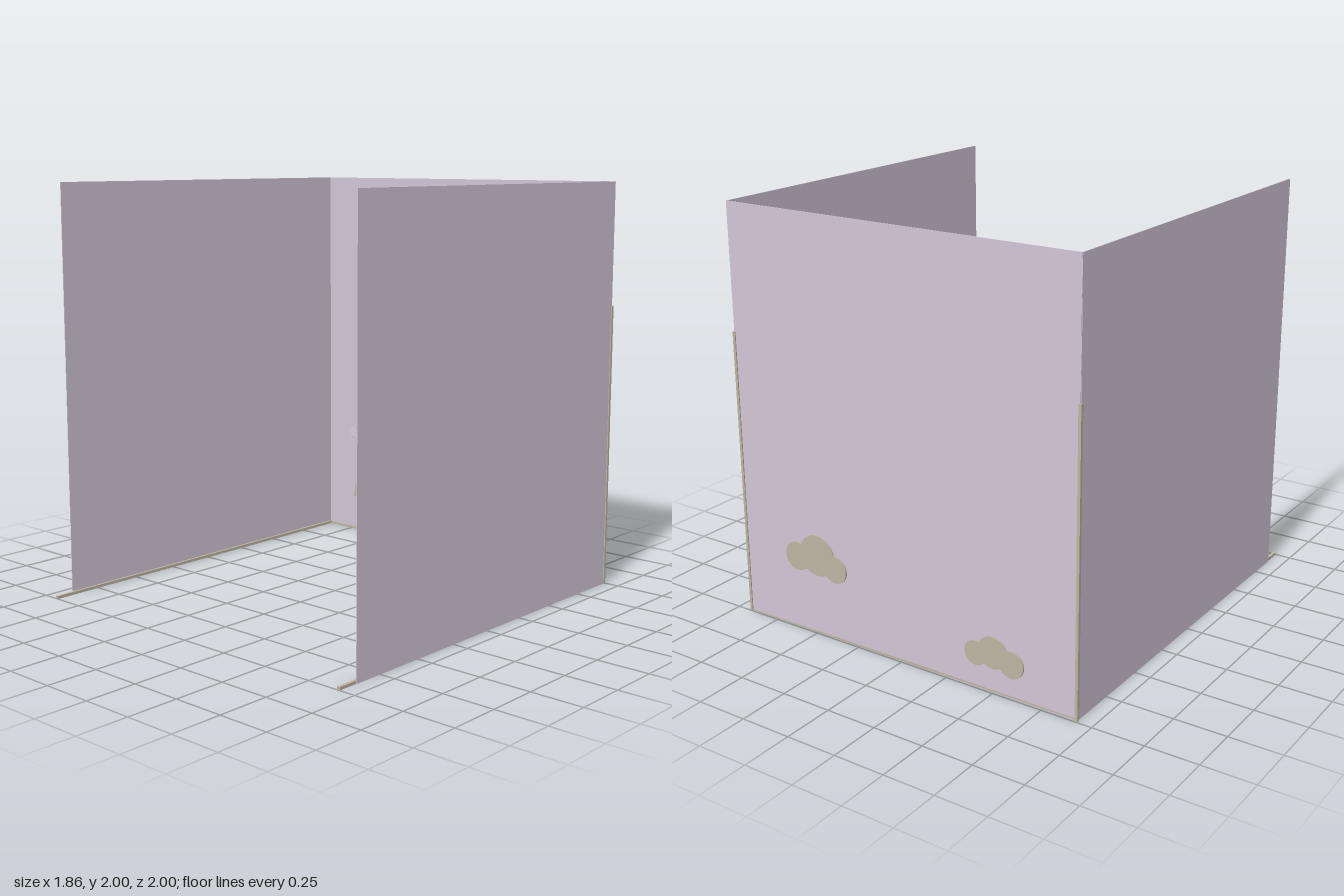
import * as THREE from 'three';

export function createModel() {
  const model = new THREE.Group();
  model.name = 'threePanelScreen';
  const lilac = new THREE.MeshStandardMaterial({ name: 'lilac panel', color: 0xd2c7d6 });
  const beige = new THREE.MeshStandardMaterial({ name: 'warm beige', color: 0xbdb5a3 });
  const pale = new THREE.MeshStandardMaterial({ name: 'pale lilac', color: 0xd6ccda });

  const add = (name, geometry, material, x, y, z) => {
    const mesh = new THREE.Mesh(geometry, material);
    mesh.name = name;
    mesh.position.set(x, y, z);
    model.add(mesh);
    return mesh;
  };
  const box = (name, material, w, h, d, x, y, z) =>
    add(name, new THREE.BoxGeometry(w, h, d), material, x, y, z);
  const plate = (name, shape, depth, material, x, y, z) =>
    add(name, new THREE.ExtrudeGeometry(shape, { depth, bevelEnabled: false, curveSegments: 32 }), material, x, y, z);

  // Closed outline whose radius is a function of the angle
  const polarShape = (radius, n) => {
    const points = [];
    for (let i = 0; i < n; i++) {
      const a = (i / n) * Math.PI * 2;
      const r = radius(a);
      points.push(new THREE.Vector2(Math.cos(a) * r, Math.sin(a) * r));
    }
    return new THREE.Shape(points);
  };

  // Wall panels
  const wallZ = -0.99;
  box('backPanel', lilac, 1.844, 2, 0.004, 0, 1, wallZ);
  box('backRail', beige, 1.83, 0.012, 0.012, 0, 0.006, wallZ + 0.004);
  for (const side of [-1, 1]) {
    const label = side > 0 ? 'left' : 'right';
    box(label + 'Panel', lilac, 0.004, 2, 1.89, side * 0.922, 1, -0.045);
    // Floor rail extends past the panel's front edge
    box(label + 'FloorRail', beige, 0.014, 0.014, 1.99, side * 0.914, 0.007, 0.005);
    // Corner post rises to 1.4
    box(label + 'CornerPost', beige, 0.014, 1.4, 0.014, side * 0.922, 0.7, wallZ);
  }

  // Clouds: union of round lobes [x, y, radius], passing through the back panel
  const cloud = (name, x, y, lobes) => {
    const outline = polarShape((a) => {
      const c = Math.cos(a), s = Math.sin(a);
      let far = 0.02;
      for (const [lx, ly, r] of lobes) {
        const along = lx * c + ly * s;
        const q = r * r - (lx * lx + ly * ly - along * along);
        if (q > 0) far = Math.max(far, along + Math.sqrt(q));
      }
      return far;
    }, 96);
    plate(name, outline, 0.015, beige, x, y, -1);
  };
  cloud('largeCloud', 0.48, 0.375, [
    [-0.105, -0.02, 0.066], [0, 0.025, 0.1], [0.12, -0.005, 0.07], [0.01, 0, 0.066]]);
  cloud('smallCloud', -0.5, 0.18, [
    [-0.095, -0.015, 0.064], [0, 0.015, 0.076], [0.09, -0.01, 0.058], [0, 0, 0.06]]);

  // Rainbow of concentric half rings
  const arch = (outer, inner) => {
    const s = new THREE.Shape();
    s.absarc(0, 0, outer, 0, Math.PI, false);
    s.absarc(0, 0, inner, Math.PI, 0, true);
    s.closePath();
    return s;
  };
  [[0.23, 0.195], [0.187, 0.158], [0.15, 0.122], [0.114, 0.083]].forEach(([o, i], k) =>
    plate('rainbowBand' + (k + 1), arch(o, i), 0.009, beige, -0.5, 0.19, -0.989));

  // Rounded five-pointed stars
  const star = (name, x, y, size, turn, material) => plate(name,
    polarShape((a) => size * (0.78 + 0.22 * Math.cos(5 * (a - Math.PI / 2 - turn))), 60),
    0.009, material, x, y, -0.989);
  star('largeStar', 0.665, 0.585, 0.066, 0.1, beige);
  star('mediumStar', 0.297, 0.24, 0.054, -0.1, beige);
  star('smallStar', -0.203, 0.552, 0.034, 0.1, beige);
  star('paleStar', -0.73, 0.565, 0.042, -0.1, pale);

  return model;
}
